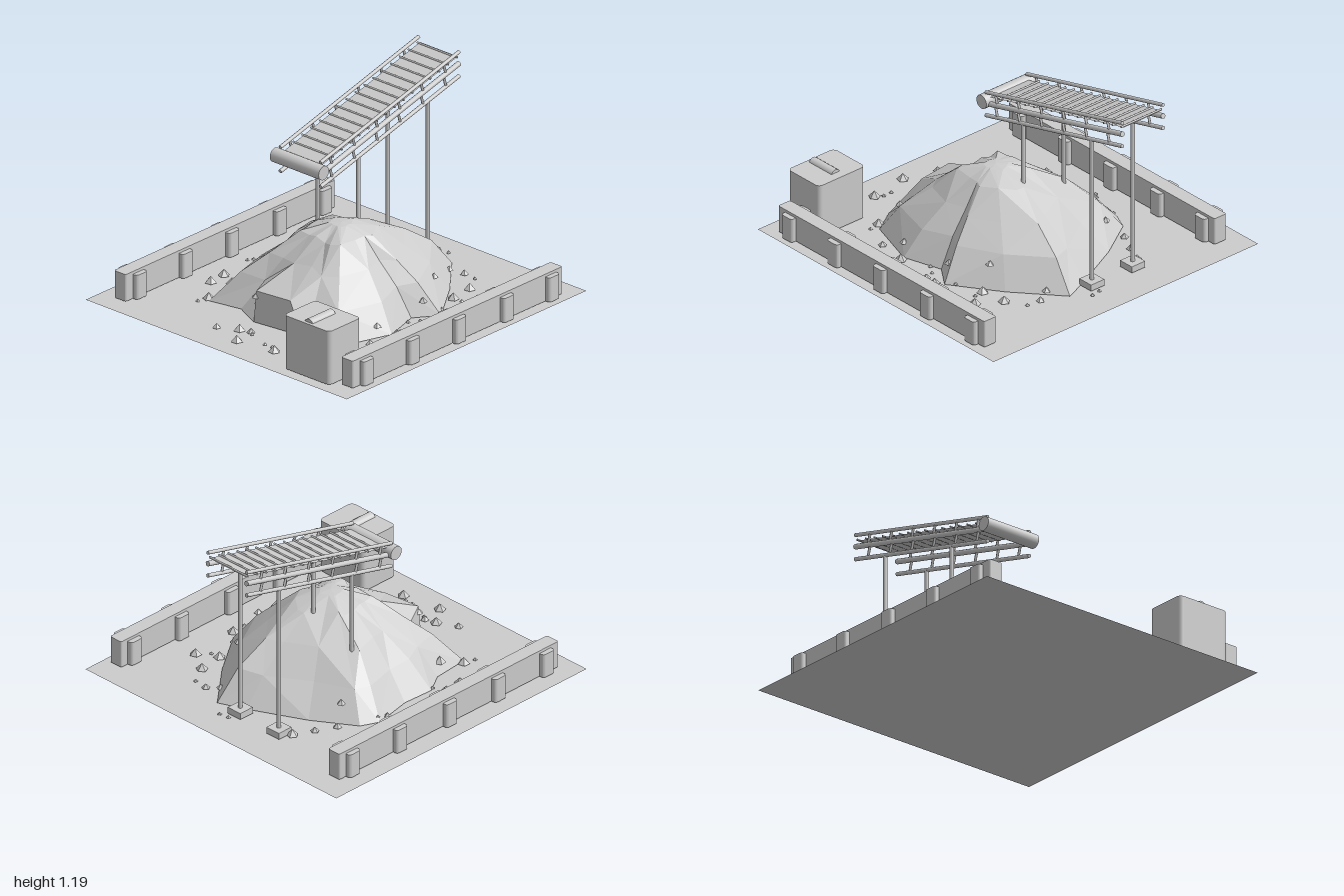
import * as THREE from 'three';

export function createModel() {
  const model = new THREE.Group();
  const grey = new THREE.MeshStandardMaterial({ color: 0xcccccc });
  grey.name = 'stone grey';
  const greySheet = grey.clone();
  greySheet.side = THREE.DoubleSide;

  const add = (name, geo, x = 0, y = 0, z = 0, parent = model, mat = grey) => {
    const mesh = new THREE.Mesh(geo, mat);
    mesh.name = name;
    mesh.position.set(x, y, z);
    parent.add(mesh);
    return mesh;
  };
  const group = (name) => {
    const g = new THREE.Group();
    g.name = name;
    model.add(g);
    return g;
  };
  // Round bar between two points
  const rod = (name, a, b, r, parent, sides = 10) => {
    const from = new THREE.Vector3(...a), dir = new THREE.Vector3(...b).sub(from);
    const mesh = add(name, new THREE.CylinderGeometry(r, r, dir.length(), sides), 0, 0, 0, parent);
    mesh.position.copy(from).addScaledVector(dir, 0.5);
    mesh.quaternion.setFromUnitVectors(new THREE.Vector3(0, 1, 0), dir.normalize());
    return mesh;
  };
  // Upright block with rounded vertical corners, standing on its origin
  const block = (w, h, d, r) => {
    const s = new THREE.Shape(), x = w / 2, y = d / 2;
    s.moveTo(-x + r, -y);
    s.lineTo(x - r, -y).absarc(x - r, -y + r, r, -Math.PI / 2, 0);
    s.lineTo(x, y - r).absarc(x - r, y - r, r, 0, Math.PI / 2);
    s.lineTo(-x + r, y).absarc(-x + r, y - r, r, Math.PI / 2, Math.PI);
    s.lineTo(-x, -y + r).absarc(-x + r, -y + r, r, Math.PI, Math.PI * 1.5);
    return new THREE.ExtrudeGeometry(s, { depth: h, bevelEnabled: false, curveSegments: 4 })
      .rotateX(-Math.PI / 2);
  };
  let seed = 7;
  const rand = () => (seed = (seed * 16807) % 2147483647) / 2147483647;

  // Ground sheet
  add('ground', new THREE.PlaneGeometry(2, 2).rotateX(-Math.PI / 2), 0, 0, 0, model, greySheet);

  // Barrier walls with buttresses
  for (const z of [0.9, -0.84]) {
    const wall = group(z > 0 ? 'frontBarrier' : 'backBarrier');
    add('barrierWall', block(1.75, 0.167, 0.09, 0.012), -0.015, 0.014, z, wall);
    for (const x of [-0.785, -0.4, -0.012, 0.385, 0.763])
      add('buttress', block(0.09, 0.15, 0.155, 0.02), x, 0.014, z, wall);
  }

  // Control cabinet with a half-round cap
  add('cabinet', block(0.265, 0.33, 0.35, 0.03), -0.817, 0.014, 0.645);
  add('cabinetCap', new THREE.CylinderGeometry(0.033, 0.033, 0.19, 16).rotateZ(Math.PI / 2),
    -0.835, 0.332, 0.645);

  // Heap: faceted rings shrinking from an irregular outline to the peak
  const outline = [
    [0.36, -0.55], [0.25, -0.6], [0, -0.55], [-0.2, -0.56], [-0.33, -0.48], [-0.56, -0.46],
    [-0.52, -0.25], [-0.6, -0.08], [-0.57, 0.16], [-0.63, 0.34], [-0.53, 0.5], [-0.2, 0.61],
    [0.04, 0.54], [0.18, 0.64], [0.47, 0.44], [0.75, 0.2], [0.68, 0.03], [0.52, -0.3]];
  const levels = [[0.1, 0.485], [0.3, 0.435], [0.55, 0.315], [0.79, 0.18], [1, 0.012]];
  const n = outline.length, peak = [-0.03, 0.49, 0.07];
  const points = [...peak], faces = [];
  levels.forEach(([t, y], k) => outline.forEach(([x, z], i) => {
    const bulge = k === 3 && (i === 7 || i === 8);
    const inner = k > 0 && k < 4;
    const s = bulge ? 0.97 : t + (inner ? (rand() - 0.5) * 0.07 : 0);
    const h = bulge ? 0.2 : y + (inner ? (rand() - 0.5) * 0.03 : 0);
    points.push(peak[0] + (x - peak[0]) * s, h, peak[2] + (z - peak[2]) * s);
  }));
  for (let i = 0; i < n; i++) {
    const j = (i + 1) % n;
    faces.push(0, 1 + i, 1 + j);
    for (let k = 0; k < levels.length - 1; k++) {
      const a = 1 + k * n + i, b = 1 + k * n + j;
      if ((i + k) % 2) faces.push(a, a + n, b + n, a, b + n, b);
      else faces.push(a, a + n, b, b, a + n, b + n);
    }
  }
  let heapGeo = new THREE.BufferGeometry();
  heapGeo.setAttribute('position', new THREE.Float32BufferAttribute(points, 3));
  heapGeo.setIndex(faces);
  heapGeo = heapGeo.toNonIndexed();
  heapGeo.computeVertexNormals();
  const heap = add('heap', heapGeo, 0, 0, 0, model, greySheet);
  heap.updateMatrixWorld();

  // Loose stones, grouped by radius, resting on the ground or the heap
  const stones = group('looseStones');
  const sizes = {
    0.036: [[-0.37, -0.62], [-0.25, -0.63], [-0.54, -0.48], [-0.39, -0.44], [0.7, -0.35], [-0.74, -0.06],
      [-0.86, 0.03], [-0.82, 0.28], [-0.57, 0.47], [-0.19, 0.64], [-0.24, 0.71], [0.14, 0.68],
      [0.39, 0.54], [0.55, 0.52], [0.46, 0.66]],
    0.026: [[0.18, -0.59], [0.46, -0.47], [0.58, -0.41], [0.37, -0.41], [-0.8, -0.18], [-0.72, 0.01],
      [-0.58, -0.08], [-0.57, 0.31], [-0.38, 0.61], [-0.26, 0.555], [-0.31, 0.7], [-0.155, 0.69],
      [-0.11, 0.73], [0.06, 0.67], [0.12, 0.555], [0.34, 0.44], [0.68, 0.36], [0.64, 0.28]],
    0.014: [[-0.61, -0.5], [-0.22, -0.55], [-0.01, -0.67], [0.02, -0.65], [0.245, -0.58], [-0.74, 0.035],
      [-0.51, -0.14], [-0.79, 0.18], [-0.79, 0.235], [-0.56, 0.54], [-0.02, 0.57], [0.04, 0.61],
      [0.23, 0.6], [0.395, 0.6], [0.67, 0.45], [0.83, 0.1], [0.82, 0.04]],
  };
  const ray = new THREE.Raycaster();
  for (const [r, spots] of Object.entries(sizes)) {
    for (const [x, z] of spots) {
      ray.set(new THREE.Vector3(x, 2, z), new THREE.Vector3(0, -1, 0));
      const hit = ray.intersectObject(heap)[0];
      const base = hit ? hit.point.y : 0.015;
      const geo = new THREE.ConeGeometry(+r, r * 1.1, 5).toNonIndexed();
      geo.computeVertexNormals();
      add('stone', geo, x, base + r * 0.5, z, stones).rotation.y = rand() * 6;
    }
  }

  // Sloping conveyor: height on the slope at x, with an offset from the roller axis
  const conveyor = group('conveyor');
  const slope = 0.258, x0 = -0.158, x1 = 1, zFront = 0.025, zBack = -0.283;
  const at = (x, up) => 0.832 + (x + 0.165) * slope + up;
  for (const z of [zFront, zBack]) {
    for (const [name, up, r] of [['handRail', 0.05, 0.011], ['beltRail', -0.022, 0.016], ['lowerRail', -0.1, 0.012]])
      rod(name, [x0, at(x0, up), z], [x1, at(x1, up), z], r, conveyor);
    for (let x = -0.08; x < 0.98; x += 0.19) {
      rod('railPost', [x + 0.02, at(x + 0.02, -0.022), z], [x, at(x, 0.05), z], 0.008, conveyor, 8);
      rod('trussPost', [x + 0.02, at(x + 0.02, -0.1), z], [x, at(x, -0.022), z], 0.008, conveyor, 8);
    }
    // Legs and footings
    for (const x of [0.157, 0.74]) {
      rod('leg', [x, 0.02, z], [x, at(x, -0.1), z], 0.013, conveyor);
      add('footing', new THREE.BoxGeometry(0.1, 0.04, 0.1), x, 0.034, z, conveyor);
    }
  }
  // Belt, cleats and tail roller
  const belt = new THREE.PlaneGeometry(Math.hypot(1.15, 1.15 * slope), 0.29)
    .rotateX(-Math.PI / 2).rotateZ(Math.atan(slope));
  add('belt', belt, 0.425, at(0.425, 0.018), -0.129, conveyor, greySheet);
  for (let x = -0.05; x < 0.99; x += 0.074)
    rod('cleat', [x, at(x, 0.022), zBack], [x, at(x, 0.022), zFront], 0.006, conveyor, 6);
  rod('tailRoller', [-0.163, 0.83, -0.318], [-0.163, 0.83, 0.056], 0.043, conveyor, 20);

  return model;
}
